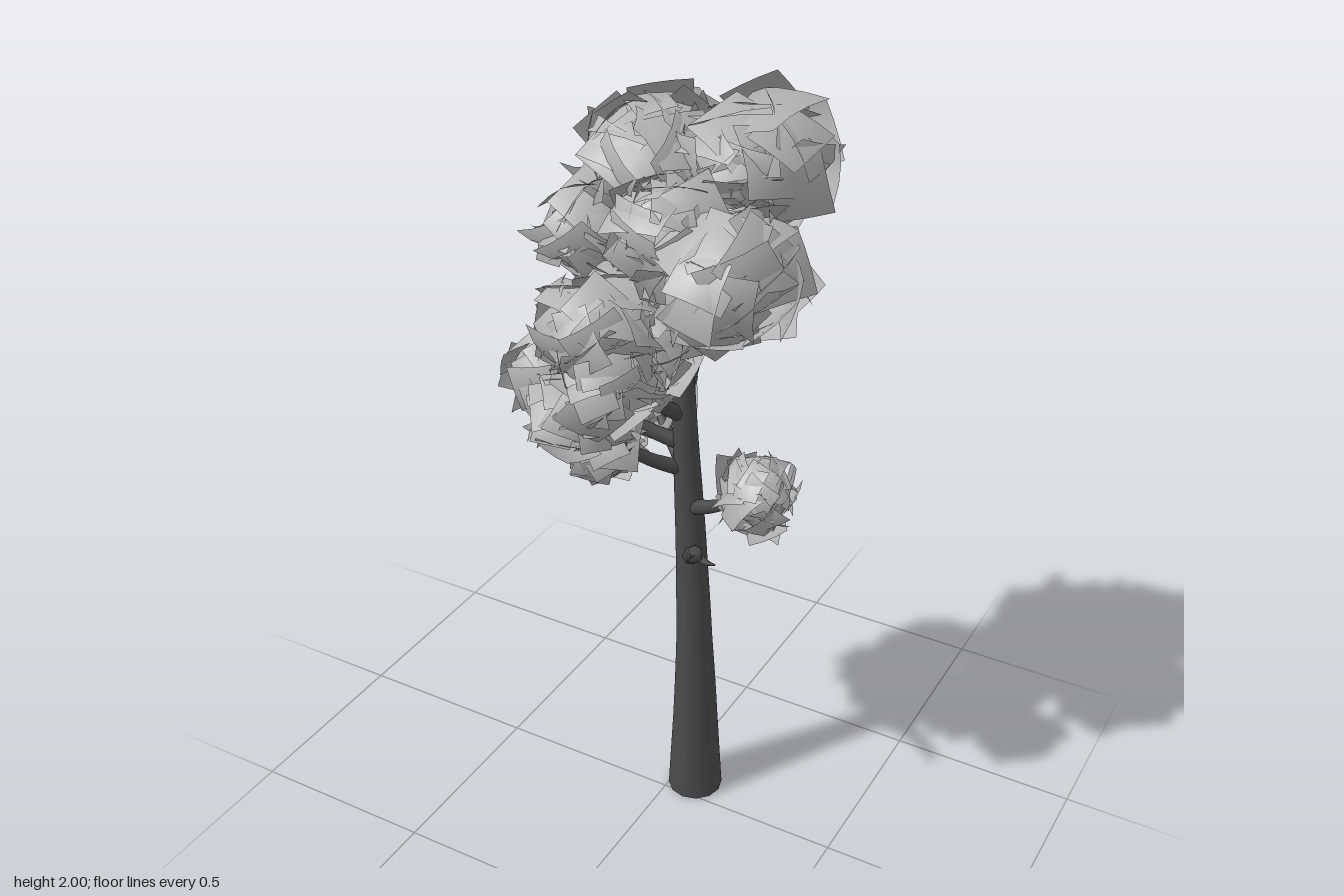
import * as THREE from 'three';
import { mergeGeometries } from 'three/addons/utils/BufferGeometryUtils.js';

const bark = new THREE.MeshStandardMaterial({ color: 0x4c4c4c, side: THREE.DoubleSide });
const leaf = new THREE.MeshStandardMaterial({ color: 0xb4b4b4, side: THREE.DoubleSide });

// Small seeded random source
let seed = 7;
const rand = () => (seed = (seed * 16807) % 2147483647) / 2147483647;
const spread = (a) => (rand() * 2 - 1) * a;

// Tube through points whose radius follows the list of radii
function taperedTube(name, points, radii, segments, sides) {
  const curve = new THREE.CatmullRomCurve3(points.map((p) => new THREE.Vector3(...p)));
  const geo = new THREE.TubeGeometry(curve, segments, 1, sides);
  const pos = geo.attributes.position, v = new THREE.Vector3();
  for (let i = 0; i <= segments; i++) {
    const u = i / segments, centre = curve.getPointAt(u);
    const f = u * (radii.length - 1), k = Math.min(Math.floor(f), radii.length - 2);
    const r = THREE.MathUtils.lerp(radii[k], radii[k + 1], f - k);
    for (let j = 0; j <= sides; j++) {
      const n = i * (sides + 1) + j;
      v.fromBufferAttribute(pos, n).sub(centre).multiplyScalar(r).add(centre);
      pos.setXYZ(n, v.x, v.y, v.z);
    }
  }
  const mesh = new THREE.Mesh(geo, bark);
  mesh.name = name;
  return mesh;
}

// Clump of bowed square leaf cards laid around an ellipsoid
function leafClump([x, y, z, rx, ry, rz]) {
  const count = 44, cards = [];
  const out = new THREE.Vector3(), v = new THREE.Vector3();
  const turn = new THREE.Quaternion(), zAxis = new THREE.Vector3(0, 0, 1);
  for (let i = 0; i < count; i++) {
    const h = 1 - (2 * (i + 0.5)) / count, a = i * 2.39996 + spread(0.3);
    const w = Math.sqrt(1 - h * h);
    out.set(w * Math.cos(a), h, w * Math.sin(a));
    const size = 0.92 + spread(0.18);
    const card = new THREE.PlaneGeometry(size, size, 3, 3);
    const pos = card.attributes.position, nor = card.attributes.normal;
    // Bow each card, with a slight random twist
    const twist = spread(0.5);
    for (let n = 0; n < pos.count; n++) {
      const px = pos.getX(n), py = pos.getY(n);
      pos.setZ(n, -0.25 * (px * px + py * py) + twist * px * py);
    }
    card.rotateZ(rand() * Math.PI);
    card.rotateX(spread(0.7));
    card.rotateY(spread(0.7));
    card.applyQuaternion(turn.setFromUnitVectors(zAxis, out));
    out.multiplyScalar(0.72 + spread(0.14));
    card.translate(out.x, out.y, out.z);
    // Rounded normals shade the clump as one soft mass
    for (let n = 0; n < pos.count; n++) {
      v.fromBufferAttribute(pos, n).normalize();
      v.x += nor.getX(n) * 0.6;
      v.y += nor.getY(n) * 0.6;
      v.z += nor.getZ(n) * 0.6;
      v.normalize();
      nor.setXYZ(n, v.x, v.y, v.z);
    }
    cards.push(card);
  }
  const geo = mergeGeometries(cards);
  geo.scale(rx, ry, rz);
  geo.translate(x, y, z);
  const mesh = new THREE.Mesh(geo, leaf);
  mesh.name = 'leafClump';
  return mesh;
}

export function createModel() {
  const tree = new THREE.Group();
  tree.name = 'tree';

  // Trunk, open at the foot
  tree.add(taperedTube('trunk', [
    [0.064, 0, -0.057], [0.06, 0.4, -0.055], [0.05, 0.8, -0.045],
    [0.036, 1.2, -0.03], [0.025, 1.5, -0.038], [0.03, 1.75, -0.05],
  ], [0.074, 0.06, 0.048, 0.041, 0.035, 0.028, 0.021, 0.012], 28, 12));

  // Bare lower branch with a forked tip
  const bare = new THREE.Group();
  bare.name = 'bareBranch';
  bare.add(
    taperedTube('bareLimb', [[0.05, 0.77, -0.04], [0.085, 0.82, 0.01], [0.13, 0.88, 0.08], [0.165, 0.91, 0.14], [0.172, 0.94, 0.2]],
      [0.024, 0.022, 0.019, 0.013, 0.002], 14, 7),
    taperedTube('bareTwig', [[0.14, 0.885, 0.09], [0.175, 0.888, 0.115], [0.21, 0.9, 0.13]], [0.012, 0.009, 0.002], 6, 6));
  tree.add(bare);

  // Leafy branches: height on the trunk, then end point
  const limbs = [
    [0.92, 0.26, 1.07, 0.05],
    [1.03, -0.13, 1.14, -0.16],
    [1.03, -0.1, 1.19, 0.15],
    [1.1, -0.25, 1.27, 0.08],
    [1.18, -0.04, 1.43, 0.2],
    [1.26, 0.0, 1.44, -0.22],
    [1.4, -0.1, 1.63, -0.13],
    [1.42, 0.2, 1.64, 0.08],
    [1.55, 0.11, 1.82, -0.13],
    [1.55, -0.08, 1.8, -0.04],
  ];
  for (const [h, x, y, z] of limbs) {
    const sx = 0.052 - 0.014 * h, sz = -0.04;
    tree.add(taperedTube('branch', [
      [sx, h, sz],
      [sx + (x - sx) * 0.45, h + (y - h) * 0.36, sz + (z - sz) * 0.45],
      [x, y, z],
    ], [0.022, 0.016, 0.006], 8, 7));
  }

  // Foliage: centre and radii of each clump
  const crown = new THREE.Group();
  crown.name = 'foliage';
  const clumps = [
    [0.285, 1.085, 0.06, 0.1, 0.1, 0.095],
    [-0.13, 1.16, -0.17, 0.125, 0.135, 0.11],
    [-0.13, 1.25, 0.17, 0.125, 0.11, 0.14],
    [-0.14, 1.11, 0.07, 0.1, 0.095, 0.09],
    [-0.27, 1.265, 0.08, 0.12, 0.115, 0.115],
    [-0.06, 1.5, 0.21, 0.145, 0.13, 0.15],
    [-0.02, 1.39, 0.22, 0.12, 0.12, 0.14],
    [0.0, 1.43, 0.08, 0.12, 0.13, 0.13],
    [0.0, 1.46, -0.21, 0.145, 0.1, 0.15],
    [-0.09, 1.63, -0.17, 0.15, 0.11, 0.125],
    [-0.15, 1.67, 0.03, 0.13, 0.14, 0.18],
    [0.22, 1.65, 0.09, 0.16, 0.165, 0.2],
    [0.06, 1.72, 0.08, 0.15, 0.14, 0.17],
    [0.14, 1.84, -0.14, 0.18, 0.145, 0.21],
    [-0.07, 1.82, -0.07, 0.175, 0.145, 0.2],
  ];
  for (const c of clumps) crown.add(leafClump(c));
  tree.add(crown);
  return tree;
}
